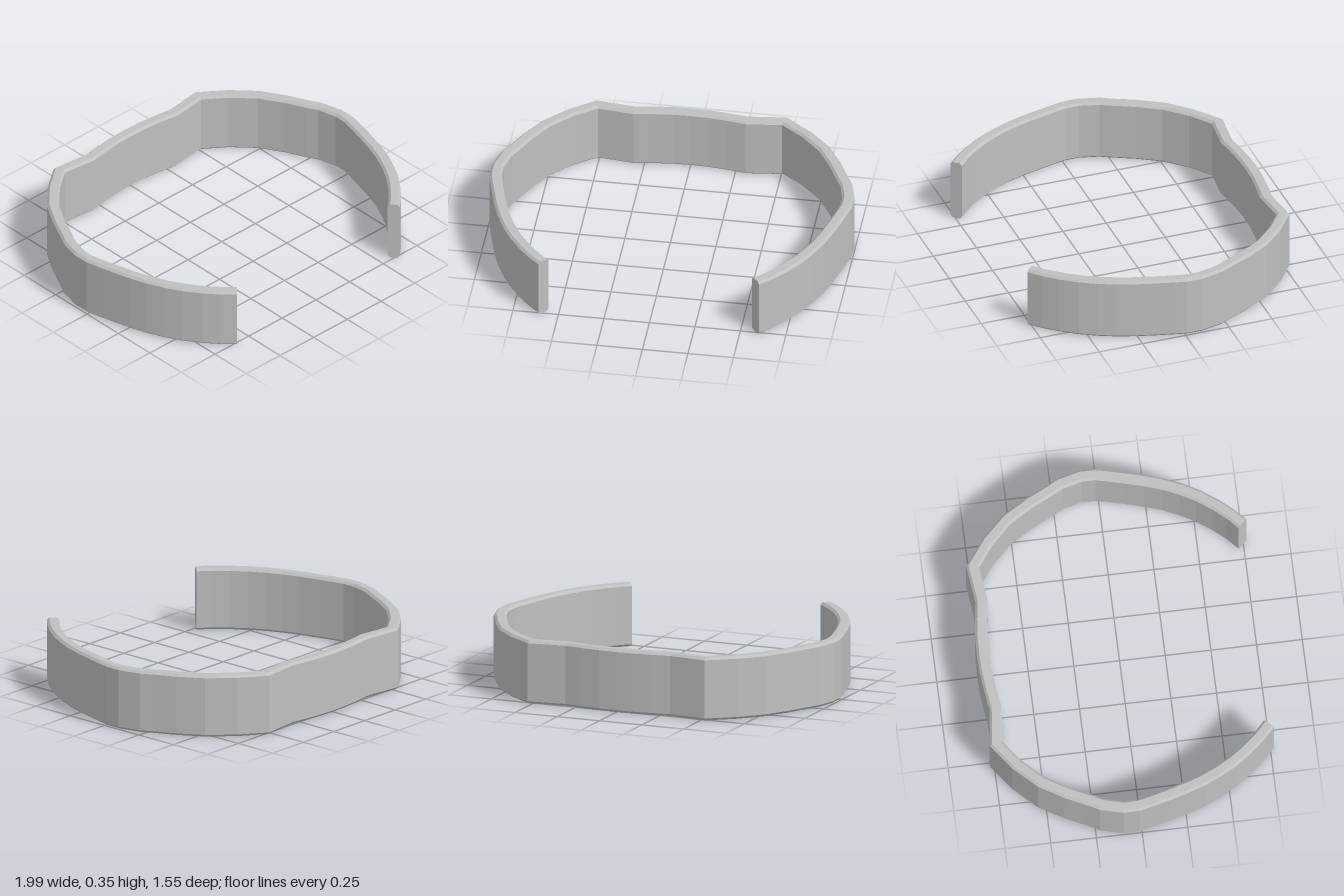
import * as THREE from 'three';

// Outer edge of one half, from the open front tip to the middle of the back: [x, z]
const HALF = [
  [0.605, 0.77], [0.67, 0.71], [0.735, 0.635], [0.8, 0.545], [0.85, 0.455], [0.893, 0.36],
  [0.927, 0.26], [0.957, 0.15], [0.98, 0.06], [0.996, -0.01], [0.997, -0.1],
  [0.965, -0.255 + 0.03], [0.93, -0.29], [0.872, -0.41], [0.79, -0.545], [0.67, -0.668],
  [0.525, -0.775], [0.31, -0.751], [0.21, -0.766], [0.1, -0.777],
];
const HEIGHT = 0.35, THICK = 0.067, BEVEL = 0.013;

// Chamfered rectangle: [inward offset, y], counter-clockwise
const SECTION = [
  [BEVEL, 0], [THICK - BEVEL, 0], [THICK, BEVEL], [THICK, HEIGHT - BEVEL],
  [THICK - BEVEL, HEIGHT], [BEVEL, HEIGHT], [0, HEIGHT - BEVEL], [0, BEVEL],
];

// Sweep the section along the path with mitred corners and closed ends
function sweepBand(path, section) {
  const n = section.length, positions = [], index = [];
  const inward = (a, b) => new THREE.Vector2(b.y - a.y, a.x - b.x).normalize();
  path.forEach((p, i) => {
    const prev = i > 0 ? inward(path[i - 1], p) : inward(p, path[i + 1]);
    const next = i < path.length - 1 ? inward(p, path[i + 1]) : prev;
    const miter = prev.clone().add(next).normalize();
    miter.divideScalar(miter.dot(next));
    for (const [d, y] of section) positions.push(p.x + miter.x * d, y, p.y + miter.y * d);
  });
  for (let i = 0; i < path.length - 1; i++) {
    for (let j = 0; j < n; j++) {
      const a = i * n + j, b = i * n + (j + 1) % n;
      index.push(a, b, b + n, a, b + n, a + n);
    }
  }
  const last = (path.length - 1) * n;
  for (let j = 1; j < n - 1; j++) {
    index.push(0, j + 1, j, last, last + j, last + j + 1);
  }
  const indexed = new THREE.BufferGeometry();
  indexed.setAttribute('position', new THREE.Float32BufferAttribute(positions, 3));
  indexed.setIndex(index);
  const geometry = indexed.toNonIndexed();
  geometry.computeVertexNormals();
  return geometry;
}

export function createModel() {
  const group = new THREE.Group();
  group.name = 'openCuff';
  const grey = new THREE.MeshStandardMaterial({ color: 0xc0c0c0 });
  grey.name = 'grey';

  // Mirror the half outline around the middle of the back
  const right = HALF.map(([x, z]) => new THREE.Vector2(x, z));
  const left = HALF.map(([x, z]) => new THREE.Vector2(-x, z)).reverse();
  const path = [...right, new THREE.Vector2(0, -0.78), ...left];

  const band = new THREE.Mesh(sweepBand(path, SECTION), grey);
  band.name = 'band';
  group.add(band);
  return group;
}
